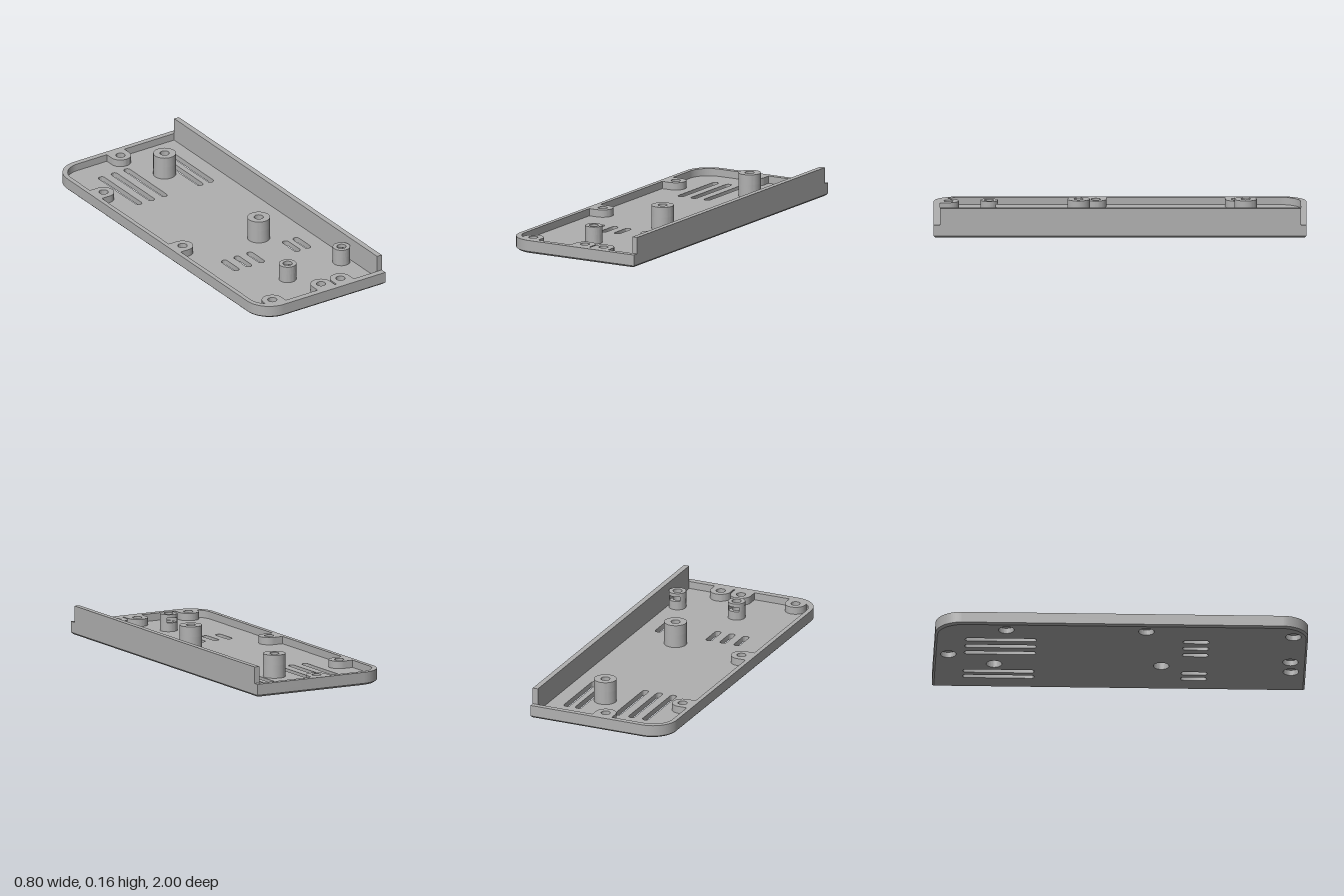
import * as THREE from 'three';
import { toCreasedNormals } from 'three/addons/utils/BufferGeometryUtils.js';

const FLOOR = 0.03, RIM = 0.07, WALL_TOP = 0.16;
const HOLE = 0.025, BORE = 0.042;

// Shapes are drawn in plan: shape x = x, shape y = -z.
function trace(path, x0, x1, z0, z1, r) {
  // Rectangle with both corners on the -x side rounded
  path.moveTo(x1, -z0);
  path.lineTo(x0 + r, -z0);
  path.absarc(x0 + r, -z0 - r, r, Math.PI / 2, Math.PI, false);
  path.lineTo(x0, -z1 + r);
  path.absarc(x0 + r, -z1 + r, r, Math.PI, Math.PI * 1.5, false);
  path.lineTo(x1, -z1);
  path.closePath();
  return path;
}

function circle(path, x, z, r) {
  path.absarc(x, -z, r, 0, Math.PI * 2, false);
  return path;
}

function slot(x, z0, z1, r) {
  const p = new THREE.Path();
  p.absarc(x, -z0 - r, r, 0, Math.PI, false);
  p.absarc(x, -z1 + r, r, Math.PI, Math.PI * 2, false);
  p.closePath();
  return p;
}

// Raise a plan shape from height y0 to y1
function raise(shape, y0, y1, steps = 1) {
  const g = new THREE.ExtrudeGeometry(shape, { depth: y1 - y0, bevelEnabled: false, curveSegments: 20, steps });
  g.rotateX(-Math.PI / 2);
  g.translate(0, y0, 0);
  return g;
}

export function createModel() {
  const model = new THREE.Group();
  model.name = 'enclosureHalf';
  const grey = new THREE.MeshStandardMaterial({ color: 0xb0b0b0 });
  grey.name = 'grey plastic';

  const add = (name, geometry, parent = model) => {
    const mesh = new THREE.Mesh(toCreasedNormals(geometry, 0.5), grey);
    mesh.name = name;
    parent.add(mesh);
  };
  const ring = (x, z, outer, inner) => {
    const s = circle(new THREE.Shape(), x, z, outer);
    s.holes.push(circle(new THREE.Path(), x, z, inner));
    return s;
  };

  // Screw bosses: centre, and the direction to the rim they grow from
  const bosses = [
    [-0.325, -0.622, 'left'], [-0.325, 0.13, 'left'], [-0.01, -0.924, 'back'],
    [-0.28, 0.92, 'front'], [0.04, 0.914, 'front'], [0.162, 0.92, 'front'],
  ];
  const tallPosts = [[0.107, -0.675], [0.107, 0.222]];
  const shortPosts = [[-0.032, 0.702], [0.317, 0.702]];

  // Floor with vents and counterbores
  const floor = trace(new THREE.Shape(), -0.4, 0.4, -1, 1, 0.14);
  for (const x of [-0.2, -0.118, -0.035, 0.197, 0.265]) {
    floor.holes.push(slot(x, -0.84, -0.455, 0.018), slot(x, 0.33, 0.472, 0.018));
  }
  for (const [x, z] of [...bosses, ...tallPosts]) floor.holes.push(circle(new THREE.Path(), x, z, BORE));
  const floorGeometry = raise(floor, 0, FLOOR, 3);

  // Draw in the lowest outer edge to make the chamfer
  const p = floorGeometry.attributes.position;
  for (let i = 0; i < p.count; i++) {
    const ax = Math.abs(p.getX(i)), az = Math.abs(p.getZ(i));
    if (p.getY(i) < 0.001 && (ax > 0.375 || az > 0.97 || ax + az > 1.29)) {
      p.setX(i, p.getX(i) * 0.975);
      p.setZ(i, p.getZ(i) * 0.99);
    }
  }
  add('floor', floorGeometry);

  // Low rim all round
  const rim = trace(new THREE.Shape(), -0.4, 0.4, -1, 1, 0.14);
  rim.holes.push(trace(new THREE.Path(), -0.375, 0.37, -0.97, 0.965, 0.115));
  add('rim', raise(rim, FLOOR, RIM));

  // Tall straight wall on the +x side
  const wall = new THREE.BoxGeometry(0.03, WALL_TOP - RIM, 1.935);
  wall.translate(0.385, (WALL_TOP + RIM) / 2, -0.0025);
  add('tallWall', wall);

  // Bosses: half round, running straight back into the rim
  const turn = { back: 0, left: Math.PI / 2, front: Math.PI };
  for (const [x, z, side] of bosses) {
    const r = 0.057;
    const reach = side === 'left' ? x + 0.376 : side === 'back' ? z + 0.971 : 0.966 - z;
    const s = new THREE.Shape();
    s.moveTo(r, reach);
    s.lineTo(-r, reach);
    s.absarc(0, 0, r, Math.PI, Math.PI * 2, false);
    s.closePath();
    s.holes.push(circle(new THREE.Path(), 0, 0, HOLE));
    const g = raise(s, FLOOR, RIM);
    g.rotateY(turn[side]);
    g.translate(x, 0, z);
    add('screwBoss', g);
  }

  // Tall posts, counterbored from below
  for (const [x, z] of tallPosts) {
    const post = new THREE.Group();
    post.name = 'tallPost';
    add('postBase', raise(ring(x, z, 0.061, BORE), FLOOR, 0.1), post);
    add('postTop', raise(ring(x, z, 0.061, HOLE), 0.1, 0.156), post);
    model.add(post);
  }

  // Short blind posts with a nut slot open to the back
  for (const [x, z] of shortPosts) {
    const R = 0.047, r = 0.03, a = Math.asin(r / R);
    const post = new THREE.Group();
    post.name = 'shortPost';
    const c = new THREE.Shape();
    c.absarc(x, -z, R, Math.PI / 2 + a, Math.PI * 2.5 - a, false);
    c.lineTo(x + r, -z);
    c.absarc(x, -z, r, 0, Math.PI, true);
    c.closePath();
    add('postBase', raise(ring(x, z, R, HOLE), FLOOR, 0.078), post);
    add('nutSlot', raise(c, 0.078, 0.104), post);
    add('postTop', raise(ring(x, z, R, HOLE), 0.104, 0.123), post);
    model.add(post);
  }

  return model;
}
